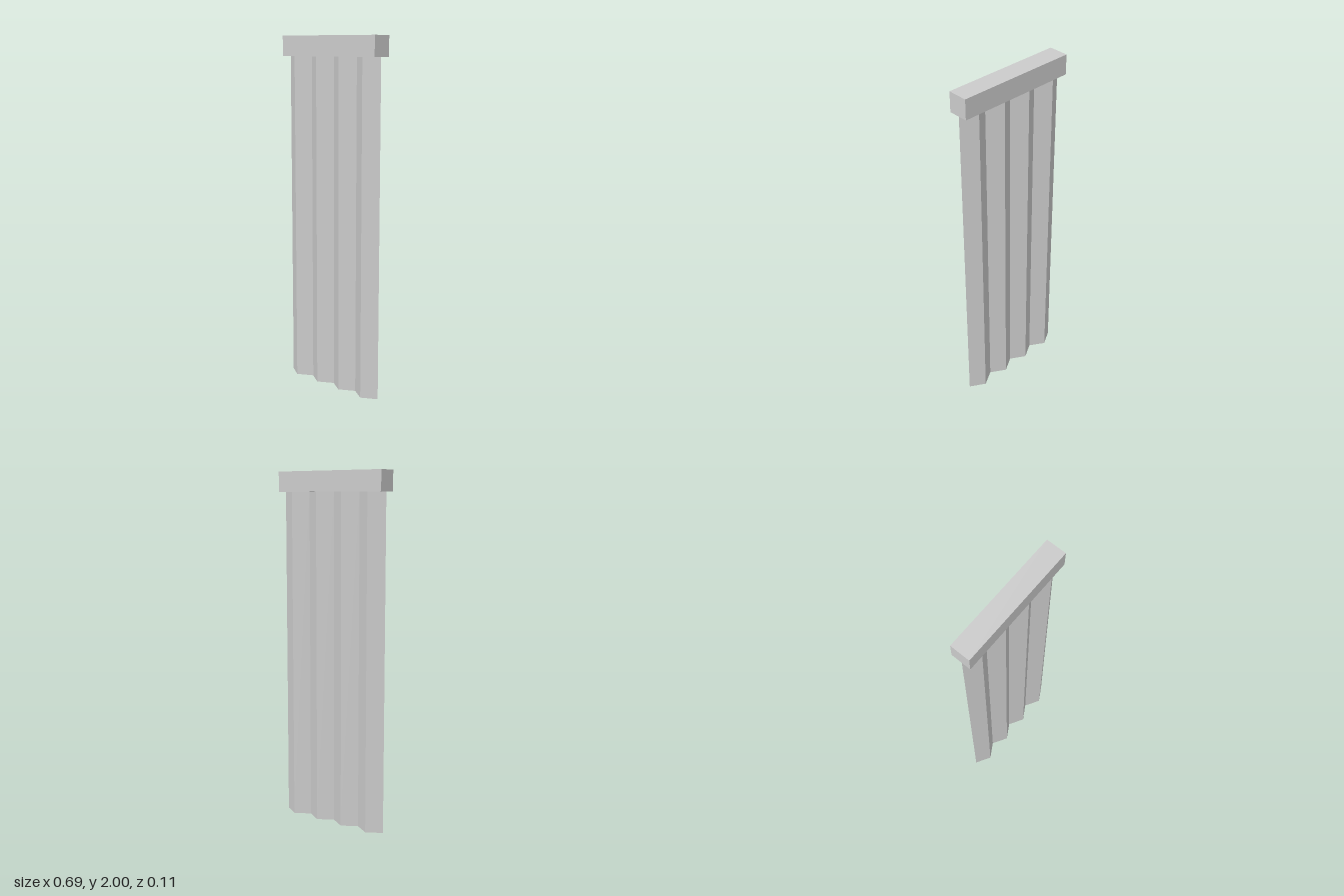
import * as THREE from 'three';

export function createModel() {
  const group = new THREE.Group();
  const material = new THREE.MeshStandardMaterial({ color: 0xcccccc, flatShading: true });

  const height = 2, railSize = 0.113, railWidth = 0.695;
  const count = 4, halfWidth = 0.0857, halfDepth = 0.051;
  const slatHeight = height - railSize;

  // Square top rail
  const rail = new THREE.Mesh(new THREE.BoxGeometry(railWidth, railSize, railSize), material);
  rail.name = 'topRail';
  rail.position.y = height - railSize / 2;
  group.add(rail);

  // Row of diamond-section folds hanging edge to edge below the rail
  const foldGeometry = new THREE.CylinderGeometry(1, 1, slatHeight, 4);
  foldGeometry.scale(halfWidth, 1, halfDepth);
  for (let i = 0; i < count; i++) {
    const fold = new THREE.Mesh(foldGeometry, material);
    fold.name = `fold${i + 1}`;
    fold.position.set((i - (count - 1) / 2) * halfWidth * 2, slatHeight / 2, 0);
    group.add(fold);
  }
  return group;
}
